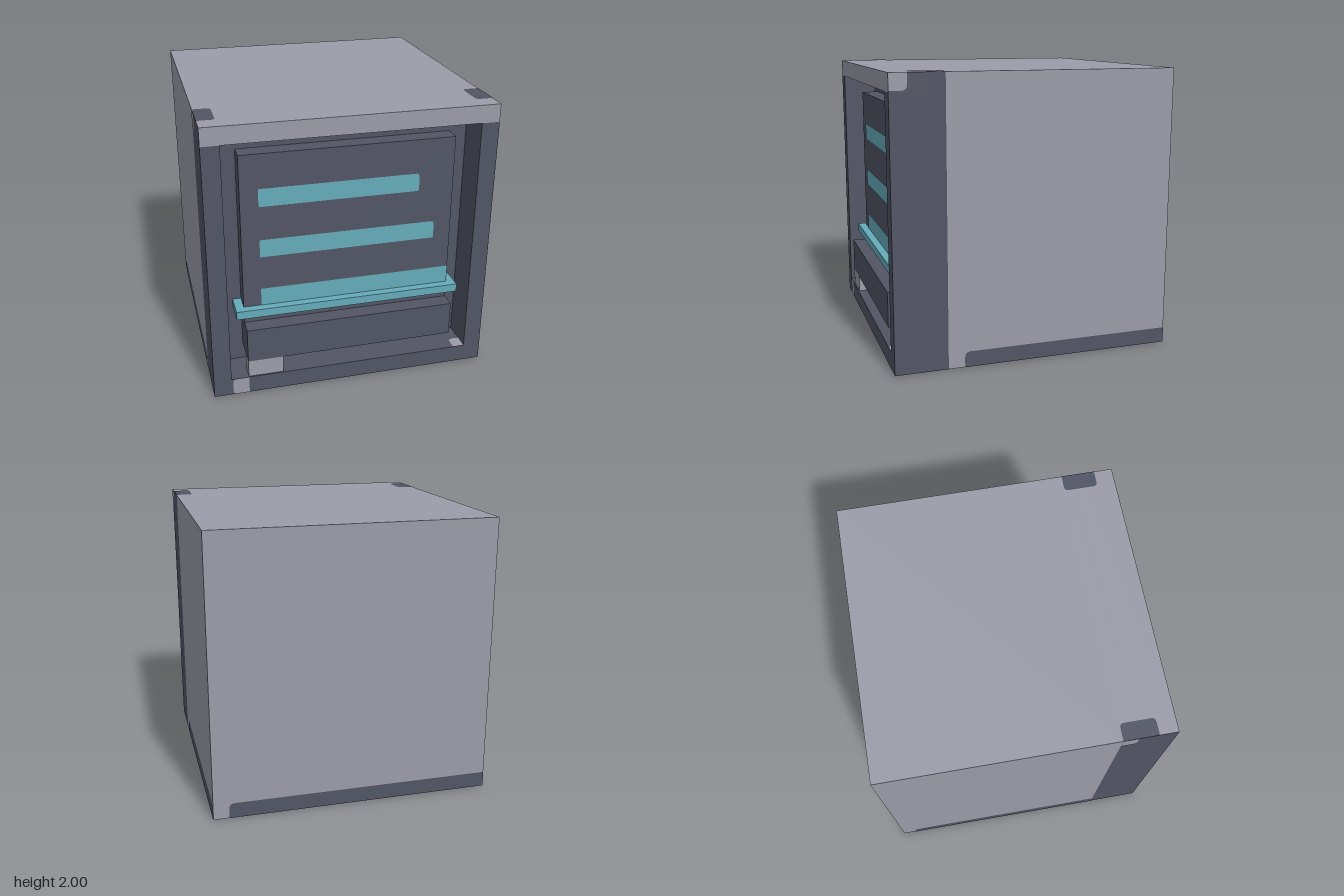
import * as THREE from 'three';

export function createModel() {
  const root = new THREE.Group();
  root.name = 'cabinetBlock';
  const mat = (name, color) => Object.assign(new THREE.MeshStandardMaterial({ color }), { name });
  const light = mat('light grey casing', 0x9b9ca8);
  const dark = mat('dark slate', 0x525564);
  const teal = mat('teal glow', 0x66abbb);

  // Box from its extents; m may be one material or six (+x, -x, +y, -y, +z, -z)
  function box(name, m, [x0, x1], [y0, y1], [z0, z1]) {
    const mesh = new THREE.Mesh(new THREE.BoxGeometry(x1 - x0, y1 - y0, z1 - z0), m);
    mesh.position.set((x0 + x1) / 2, (y0 + y1) / 2, (z0 + z1) / 2);
    mesh.name = name;
    root.add(mesh);
  }

  // Flat panel outline with a radius per corner: lower left, lower right, upper right, upper left
  function outline(u0, u1, v0, v1, [a, b, c, d]) {
    const s = new THREE.Shape();
    s.moveTo(u0 + a, v0);
    s.lineTo(u1 - b, v0);
    s.quadraticCurveTo(u1, v0, u1, v0 + b);
    s.lineTo(u1, v1 - c);
    s.quadraticCurveTo(u1, v1, u1 - c, v1);
    s.lineTo(u0 + d, v1);
    s.quadraticCurveTo(u0, v1, u0, v1 - d);
    s.lineTo(u0, v0 + a);
    s.quadraticCurveTo(u0, v0, u0 + a, v0);
    return new THREE.ShapeGeometry(s, 4);
  }

  // Painted patch on a face of the cube, in that face's own -1..1 coordinates
  const turn = {
    front: [0, 0], back: [0, Math.PI], right: [0, Math.PI / 2], left: [0, -Math.PI / 2],
    top: [-Math.PI / 2, 0], bottom: [Math.PI / 2, 0],
  };
  function patch(name, m, face, u, v, radii = [0, 0, 0, 0], depth = 1.002) {
    const geo = outline(...u, ...v, radii).translate(0, 0, depth);
    const mesh = new THREE.Mesh(geo, m);
    mesh.rotation.set(turn[face][0], turn[face][1], 0);
    mesh.position.y = 1;
    mesh.name = name;
    root.add(mesh);
  }

  // Casing and open front frame
  box('casing', light, [-1, 1], [0, 2], [-1, 0.63]);
  box('recessBack', [dark, dark, light, dark, dark, dark], [-1, 1], [0, 2], [0.63, 0.75]);
  for (const s of [-1, 1]) {
    box('framePost', dark, s < 0 ? [-1, -0.875] : [0.875, 1], [0.125, 1.875], [0.75, 1]);
  }
  box('frameSill', dark, [-1, 1], [0, 0.125], [0.75, 1]);
  box('frameLintel', [dark, dark, light, dark, light, dark], [-1, 1], [1.875, 2], [0.75, 1]);

  // Display panel with lines of light, ledge, drawer and foot
  box('displayPanel', dark, [-0.75, 0.75], [0.5, 1.75], [0.75, 0.875]);
  [[0.5, 1.375], [0.625, 1], [0.75, 0.625]].forEach(([end, y], i) => {
    const r = i < 2 ? 0.025 : 0;
    patch('displayLine', teal, 'front', [-0.625, end], [y - 1, y - 0.87], [0, r / 2, r, 0], 0.878);
  });
  box('ledge', teal, [-0.81, 0.81], [0.565, 0.625], [0.75, 0.935]);
  box('drawer', dark, [-0.75, 0.75], [0.25, 0.5], [0.75, 0.99]);
  box('drawerFoot', light, [-0.75, -0.5], [0.125, 0.25], [0.875, 0.99]);

  // Worn and painted patches on the frame
  patch('sillPatch', light, 'front', [-0.865, -0.75], [-1, -0.875], [0.03, 0, 0, 0.03]);
  patch('floorPatch', light, 'top', [0.79, 0.875], [-1, -0.9], [0, 0, 0, 0.03], -0.872);
  patch('rightCornerPatch', light, 'right', [-1, -0.88], [0.885, 1], [0, 0.04, 0, 0]);
  patch('leftCornerPatch', light, 'left', [0.63, 0.74], [0.88, 1], [0, 0.04, 0, 0]);
  patch('topPatchRight', dark, 'top', [0.88, 1], [-0.87, -0.63], [0.03, 0, 0, 0.03]);
  patch('topPatchLeft', dark, 'top', [-1, -0.88], [-0.87, -0.63], [0, 0.03, 0.03, 0]);

  // Skirting strips along the base
  patch('rightSkirting', dark, 'right', [-0.515, 1], [-1, -0.89], [0, 0, 0, 0.04]);
  patch('leftSkirting', dark, 'left', [-0.9, 0.63], [-1, -0.89], [0, 0, 0, 0.04]);
  patch('backSkirting', dark, 'back', [-0.89, 1], [-1, -0.89], [0, 0, 0, 0.04]);

  // Underside edge of the dark front
  patch('undersideEdge', light, 'bottom', [-0.9, 0.83], [0.63, 0.69], [0, 0, 0.04, 0]);
  patch('undersideCorner', light, 'bottom', [-1, -0.9], [0.63, 0.79], [0, 0, 0.04, 0]);

  return root;
}
